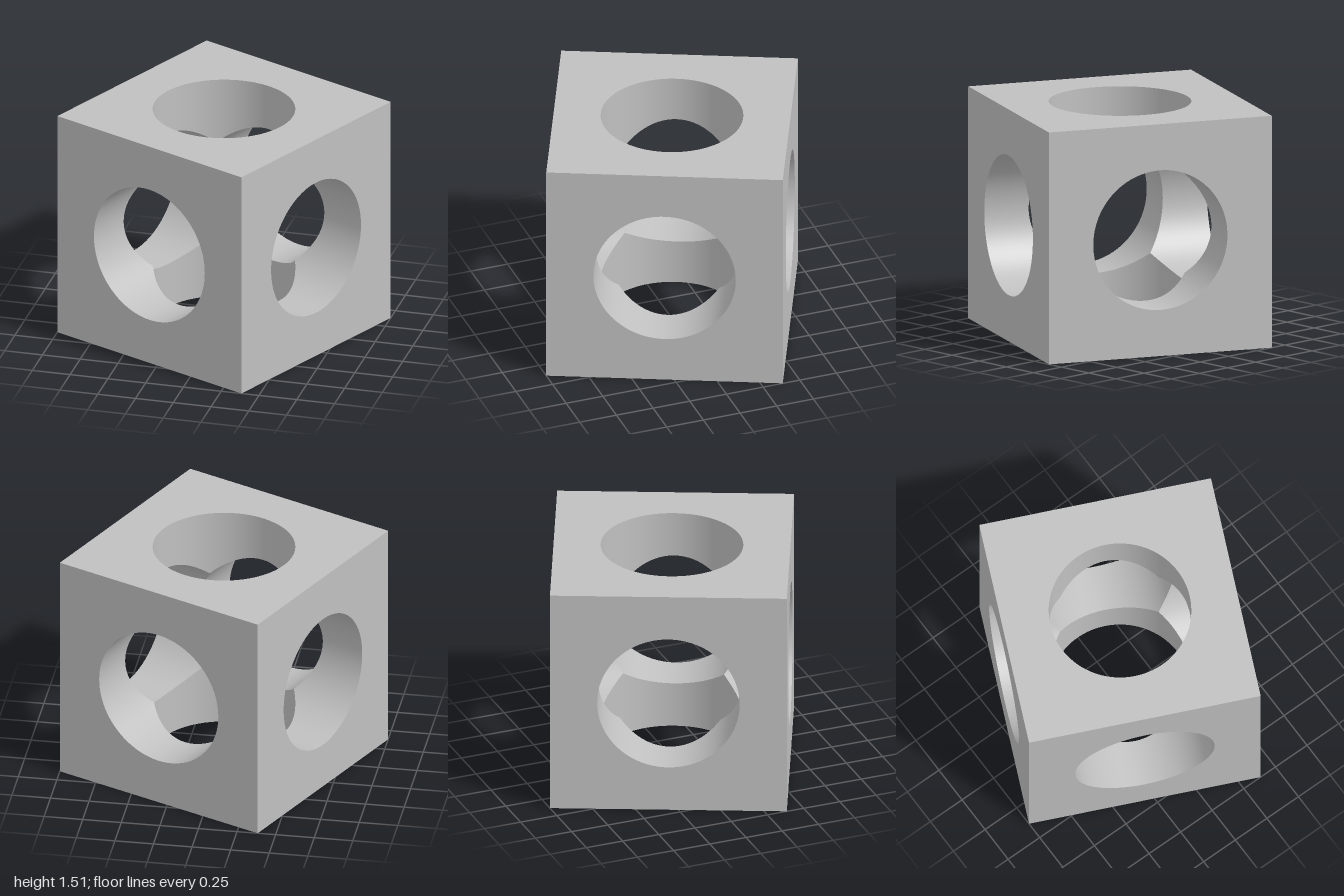
import * as THREE from 'three';

const HALF = 0.7575; // half the cube's edge
const R = 0.456; // bore radius
const SEGMENTS = 96;

// Square face with a round opening, facing +z
function faceGeometry() {
  const shape = new THREE.Shape([
    new THREE.Vector2(-HALF, -HALF),
    new THREE.Vector2(HALF, -HALF),
    new THREE.Vector2(HALF, HALF),
    new THREE.Vector2(-HALF, HALF),
  ]);
  const hole = new THREE.Path();
  hole.absarc(0, 0, R, 0, Math.PI * 2, true);
  shape.holes.push(hole);
  return new THREE.ShapeGeometry(shape, SEGMENTS / 2).translate(0, 0, HALF);
}

// Inside wall of one bore, running from the face to where it meets the crossing bores
function boreGeometry() {
  const geometry = new THREE.CylinderGeometry(R, R, 1, SEGMENTS, 1, true);
  const position = geometry.attributes.position;
  const normal = geometry.attributes.normal;
  for (let i = 0; i < position.count; i++) {
    const inner = Math.max(Math.abs(position.getX(i)), Math.abs(position.getZ(i)));
    position.setY(i, position.getY(i) > 0 ? HALF : inner);
    normal.setXYZ(i, -normal.getX(i), 0, -normal.getZ(i));
  }
  // Reverse the winding so the wall faces the bore's axis
  geometry.setIndex(Array.from(geometry.index.array).reverse());
  return geometry.rotateX(Math.PI / 2);
}

export function createModel() {
  const grey = new THREE.MeshStandardMaterial({ color: 0xc0c0c0 });
  grey.name = 'grey';
  const face = faceGeometry();
  const bore = boreGeometry();

  const cube = new THREE.Group();
  cube.name = 'boredCube';
  const q = Math.PI / 2;
  const sides = [
    ['front', 0, 0], ['left', 0, q], ['back', 0, 2 * q], ['right', 0, -q],
    ['top', -q, 0], ['bottom', q, 0],
  ];
  for (const [name, rx, ry] of sides) {
    const side = new THREE.Group();
    side.name = name + 'Side';
    side.rotation.set(rx, ry, 0);
    for (const [part, geometry] of [['Face', face], ['Bore', bore]]) {
      const mesh = new THREE.Mesh(geometry, grey);
      mesh.name = name + part;
      side.add(mesh);
    }
    cube.add(side);
  }

  // The cube stands turned about the vertical
  cube.rotation.y = THREE.MathUtils.degToRad(-24);
  cube.position.y = HALF;

  const model = new THREE.Group();
  model.name = 'model';
  model.add(cube);
  return model;
}
